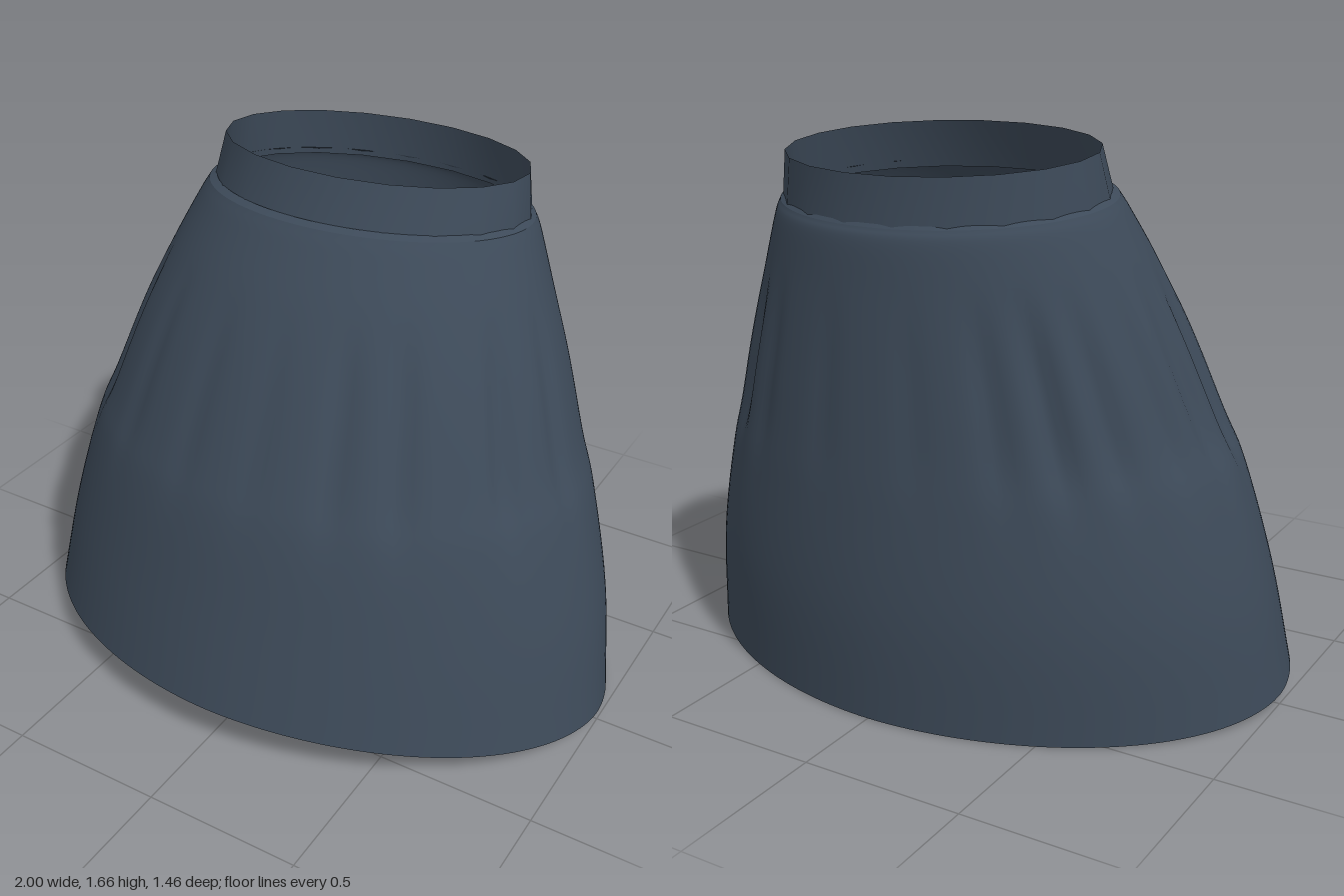
import * as THREE from 'three';

// Body sections from hem to waist: [half width, front z, front y, back z, back y]
const BODY = [
  [1.0, 0.73, 0.15, -0.71, 0.01],
  [0.945, 0.655, 0.43, -0.725, 0.34],
  [0.86, 0.58, 0.71, -0.715, 0.65],
  [0.79, 0.52, 0.87, -0.705, 0.83],
  [0.70, 0.40, 1.14, -0.69, 1.06],
  [0.615, 0.30, 1.33, -0.675, 1.27],
  [0.55, 0.205, 1.48, -0.665, 1.41],
  [0.525, 0.165, 1.535, -0.65, 1.45],
];
const BAND = [
  [0.515, 0.15, 1.52, -0.648, 1.44],
  [0.49, 0.09, 1.67, -0.64, 1.59],
];
// Soft gathers: [angle around the body, depth]
const FOLDS = [
  [0.1, 0.02], [0.45, 0.04], [0.92, 0.035], [1.18, 0.03], [1.5, 0.012], [1.82, 0.015],
  [2.2, 0.015], [2.65, 0.025], [2.95, 0.03], [3.2, 0.03], [3.45, 0.025], [3.72, 0.035],
  [3.95, 0.05], [4.18, 0.03], [4.5, 0.012], [4.9, 0.012], [5.3, 0.02], [5.55, 0.03], [5.8, 0.02],
];

// Inward push of the gathers; u runs 0 at the hem to 1 at the waist
function foldDepth(t, u) {
  const fade = THREE.MathUtils.smoothstep(u, 0.22, 0.5) * (1 - THREE.MathUtils.smoothstep(u, 0.55, 0.76));
  return fade * FOLDS.reduce((sum, [a, d]) => sum + d * Math.exp(-(((t - a) / 0.06) ** 2)), 0);
}

// One point on a tilted, slightly pointed oval section
function sectionPoint([w, zf, yf, zb, yb], t, u, shrink = 0) {
  const power = 2 / THREE.MathUtils.lerp(1.88, 2, Math.min(u * 2, 1));
  const c = Math.cos(t), s = Math.sin(t);
  const k = 1 - shrink - foldDepth(t, u);
  const px = Math.sign(c) * Math.abs(c) ** power * k;
  const pz = Math.sign(s) * Math.abs(s) ** power * k;
  const sag = 0.04 * (1 - pz * pz) * Math.max(0, 1 - u * 3);
  return [
    w * px + 0.01 * u,
    (yf + yb) / 2 + (yf - yb) / 2 * pz - sag,
    (zf + zb) / 2 + (zf - zb) / 2 * pz,
  ];
}

// Closed rings joined into an open tube
function loft(rows, sides, point) {
  const pos = [], index = [];
  for (let i = 0; i < rows; i++) {
    for (let j = 0; j < sides; j++) {
      pos.push(...point(i, (j / sides) * Math.PI * 2));
      if (i === rows - 1) continue;
      const a = i * sides + j, b = i * sides + (j + 1) % sides;
      index.push(a, a + sides, b, b, a + sides, b + sides);
    }
  }
  const geo = new THREE.BufferGeometry();
  geo.setAttribute('position', new THREE.Float32BufferAttribute(pos, 3));
  geo.setIndex(index);
  geo.computeVertexNormals();
  return geo;
}

export function createModel() {
  const group = new THREE.Group();
  group.name = 'skirt';
  const cloth = new THREE.MeshStandardMaterial({ color: 0x3d4a59, side: THREE.DoubleSide });
  cloth.name = 'slate blue cloth';
  const add = (name, geo) => {
    const mesh = new THREE.Mesh(geo, cloth);
    mesh.name = name;
    group.add(mesh);
  };

  // Gathered body, smoothed between its sections
  const front = new THREE.CatmullRomCurve3(BODY.map(r => new THREE.Vector3(r[0], r[1], r[2])), false, 'catmullrom', 0.5);
  const back = new THREE.CatmullRomCurve3(BODY.map(r => new THREE.Vector3(0, r[3], r[4])), false, 'catmullrom', 0.5);
  const rows = 43;
  add('body', loft(rows, 160, (i, t) => {
    const u = i / (rows - 1);
    const f = front.getPoint(u), b = back.getPoint(u);
    return sectionPoint([f.x, f.y, f.z, b.y, b.z], t, u);
  }));

  // Narrow ledge where the body meets the waistband
  const ledge = [BODY[7], [0.505, 0.14, 1.545, -0.643, 1.46]];
  add('waistSeam', loft(2, 160, (i, t) => sectionPoint(ledge[i], t, 1)));

  // Plain waistband with few sides
  add('waistband', loft(2, 20, (i, t) => sectionPoint(BAND[i], t + Math.PI / 20, 1)));

  // Thin hem turned inward
  add('hem', loft(2, 80, (i, t) => {
    const p = sectionPoint(BODY[0], t, 0, i ? 0 : 0.02);
    return [p[0], p[1] + (i ? 0 : 0.012), p[2]];
  }));

  return group;
}
